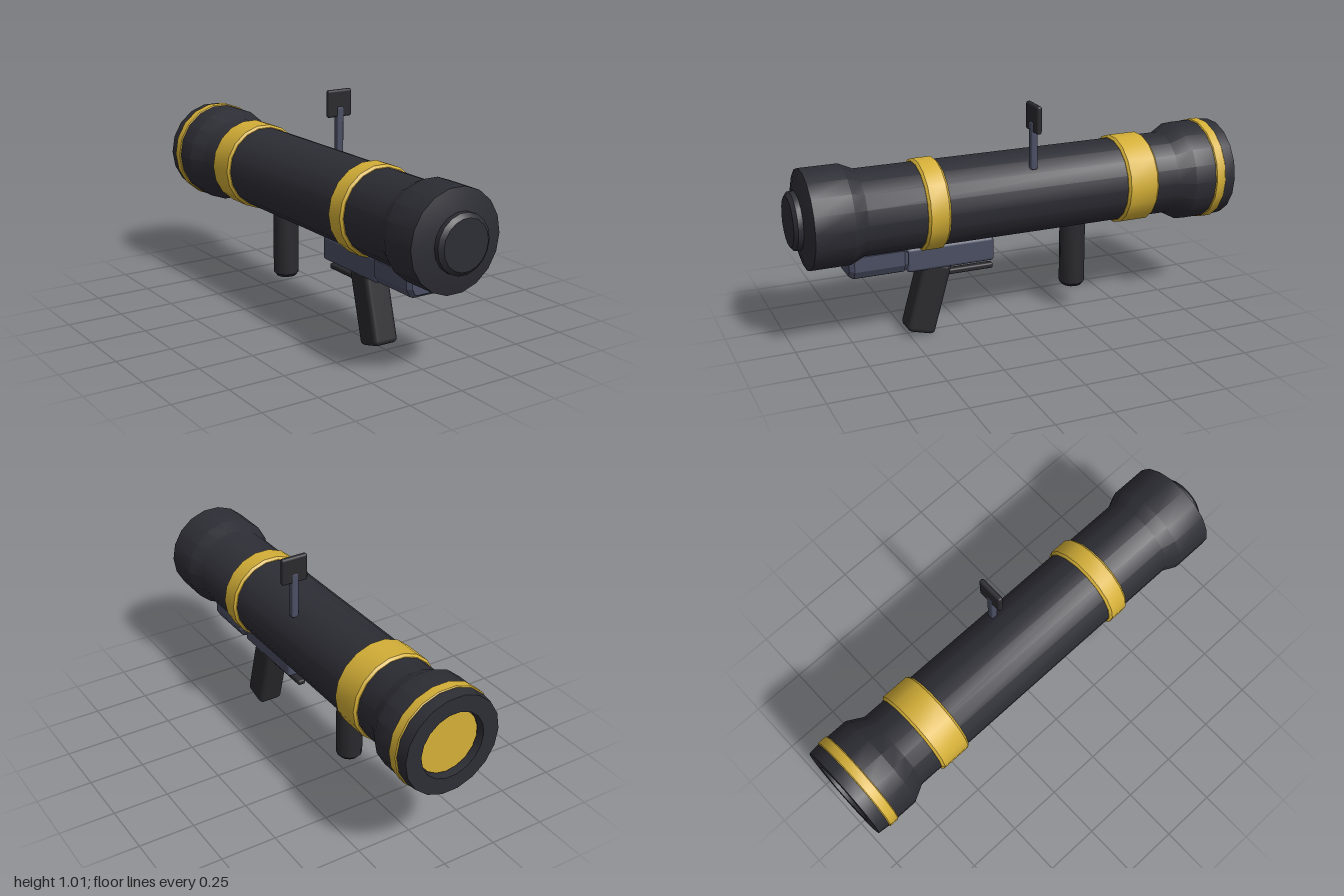
import * as THREE from 'three';
import { toCreasedNormals } from 'three/addons/utils/BufferGeometryUtils.js';
import { RoundedBoxGeometry } from 'three/addons/geometries/RoundedBoxGeometry.js';

const AXIS_Y = 0.588; // height of the barrel axis

export function createModel() {
  const model = new THREE.Group();
  model.name = 'shoulderLauncher';

  const material = (name, color) => {
    const m = new THREE.MeshStandardMaterial({ color });
    m.name = name;
    return m;
  };
  const body = material('charcoal', 0x2d2d35);
  const grip = material('black', 0x2a2a2e);
  const metal = material('slate', 0x4a4e63);
  const gold = material('gold', 0xd4af37);

  const add = (name, geometry, mat, x = 0, y = 0, z = 0) => {
    const mesh = new THREE.Mesh(geometry, mat);
    mesh.name = name;
    mesh.position.set(x, y, z);
    model.add(mesh);
    return mesh;
  };

  // Turned part along z from [radius, z] pairs, listed back to front
  const turned = (name, profile, mat) => {
    const points = profile.map(([r, z]) => new THREE.Vector2(r, z));
    const geometry = new THREE.LatheGeometry(points, 18, Math.PI / 2);
    geometry.rotateX(Math.PI / 2);
    return add(name, toCreasedNormals(geometry, 0.5), mat, 0, AXIS_Y, 0);
  };

  // Barrel with flared ends, open recess at the back
  turned('barrel', [
    [0, -0.96], [0.145, -0.96], [0.148, -1], [0.22, -1], [0.225, -0.95],
    [0.225, -0.8], [0.187, -0.73], [0.187, 0.71], [0.215, 0.77],
    [0.215, 0.938], [0.12, 0.965], [0, 0.965],
  ], body);
  turned('muzzlePlug', [
    [0.125, 0.955], [0.125, 0.985], [0.107, 1], [0, 1],
  ], body);

  // Gold bands with bevelled edges
  const band = (name, z0, z1, r, inner, bevel) => turned(name, [
    [inner, z0], [r - bevel, z0], [r, z0 + bevel],
    [r, z1 - bevel], [r - bevel, z1], [inner, z1],
  ], gold);
  band('frontBand', 0.355, 0.455, 0.2, 0.18, 0.01);
  band('middleBand', -0.625, -0.475, 0.2, 0.18, 0.01);
  band('rearBand', -0.948, -0.9, 0.23, 0.215, 0.004);

  // Gold disc inside the rear recess
  const disc = new THREE.CylinderGeometry(0.14, 0.14, 0.008, 18);
  disc.rotateX(Math.PI / 2);
  add('exhaustDisc', disc, gold, 0, AXIS_Y, -0.965);

  // Front housing: chamfered section extruded along z
  const section = new THREE.Shape([
    [-0.088, 0.42], [-0.088, 0.355], [-0.07, 0.322], [-0.055, 0.315],
    [0.055, 0.315], [0.07, 0.322], [0.088, 0.355], [0.088, 0.42],
  ].map(([x, y]) => new THREE.Vector2(x, y)));
  const housing = new THREE.ExtrudeGeometry(section, {
    depth: 0.22, bevelSize: 0.015, bevelThickness: 0.02, bevelOffset: -0.015, bevelSegments: 1,
  });
  add('frontHousing', housing, metal, 0, 0, 0.53);

  // Trigger housing, grip and trigger bar
  add('triggerHousing', new RoundedBoxGeometry(0.125, 0.11, 0.4, 2, 0.015), metal, 0, 0.36, 0.312);
  const handle = add('rearGrip', new RoundedBoxGeometry(0.118, 0.33, 0.128, 2, 0.022), grip, 0, 0.17, 0.41);
  handle.rotation.x = -0.27;
  add('triggerBar', new RoundedBoxGeometry(0.035, 0.025, 0.23, 2, 0.008), grip, 0, 0.263, 0.215);

  // Forward grip
  const post = new THREE.LatheGeometry([
    [0, 0.11], [0.045, 0.11], [0.058, 0.125], [0.058, 0.43],
  ].map(([r, y]) => new THREE.Vector2(r, y)), 12);
  add('forwardGrip', toCreasedNormals(post, 0.6), grip, 0, 0, -0.293);

  // Sight
  add('sightPost', new RoundedBoxGeometry(0.032, 0.21, 0.03, 2, 0.006), metal, 0.125, 0.828, -0.043);
  add('sightPlate', new RoundedBoxGeometry(0.124, 0.122, 0.024, 2, 0.01), grip, 0.125, 0.949, -0.045);

  return model;
}
